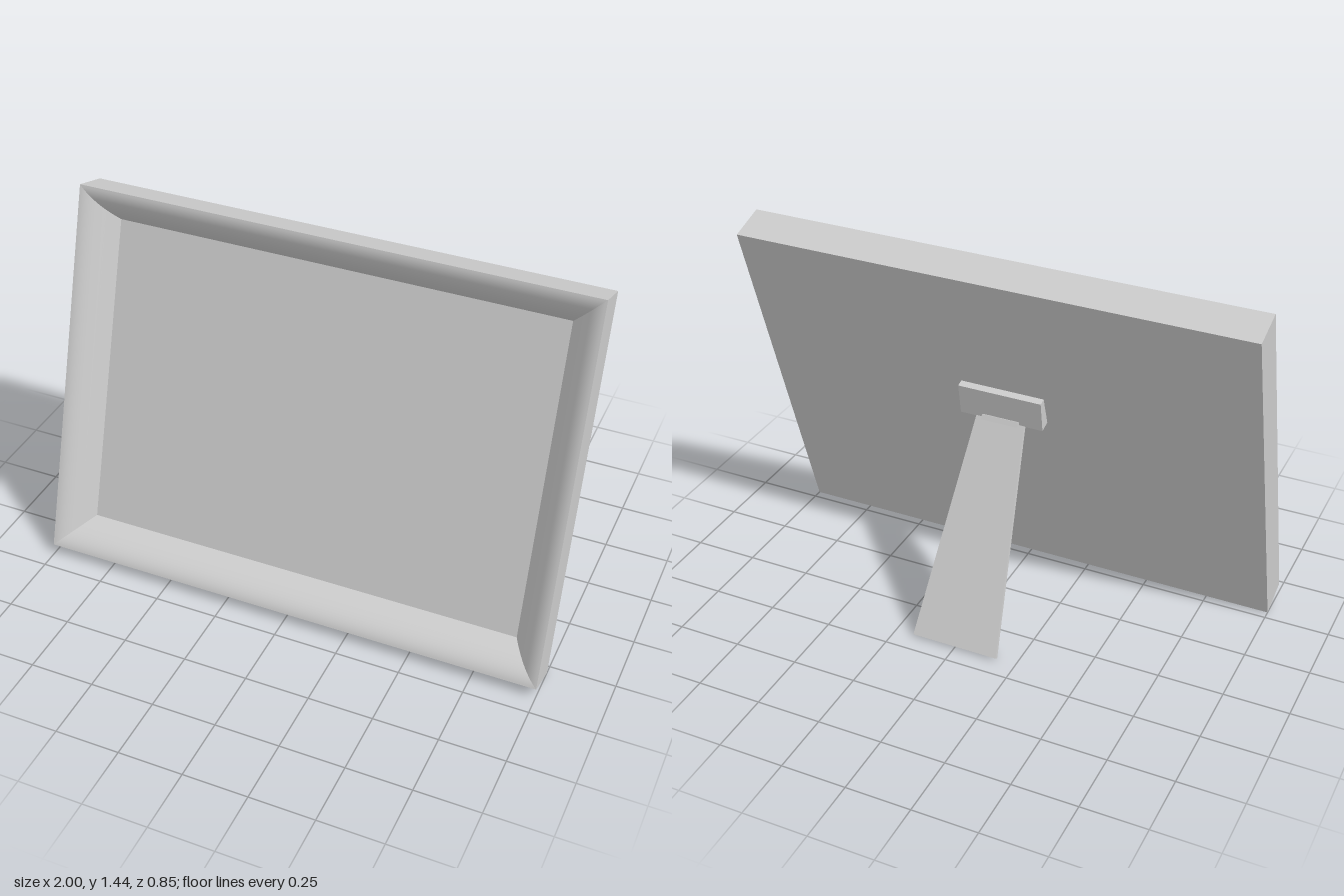
import * as THREE from 'three';
import { ConvexGeometry } from 'three/addons/geometries/ConvexGeometry.js';

const HEIGHT = 1.46;   // frame height along its own tilted plane
const DEPTH = 0.147;   // frame thickness
const PANEL = 0.04;    // depth of the recessed panel face
const RIM = 0.125;     // width of the moulding
const TILT = 0.308;    // backward lean in radians

const material = new THREE.MeshStandardMaterial({ color: 0xcccccc });

function part(name, geometry) {
  const mesh = new THREE.Mesh(geometry, material);
  mesh.name = name;
  return mesh;
}

// Sweeps a profile of [inset, depth] points round the rectangle, with mitred corners.
function mitredRing(profile) {
  const positions = [], index = [];
  const corners = (w) => [[-1 + w, w], [1 - w, w], [1 - w, HEIGHT - w], [-1 + w, HEIGHT - w]];
  for (let side = 0; side < 4; side++) {
    const base = positions.length / 3;
    profile.forEach(([w, d], i) => {
      const c = corners(w);
      positions.push(...c[side], d, ...c[(side + 1) % 4], d);
      if (i > 0) {
        const a = base + 2 * (i - 1);
        index.push(a, a + 1, a + 3, a, a + 3, a + 2);
      }
    });
  }
  const geometry = new THREE.BufferGeometry();
  geometry.setAttribute('position', new THREE.Float32BufferAttribute(positions, 3));
  geometry.setIndex(index);
  geometry.computeVertexNormals();
  return geometry;
}

// Solid across x from a side outline of [z, y, halfWidth] points.
function sideSolid(outline) {
  return new ConvexGeometry(outline.flatMap(([z, y, h]) =>
    [new THREE.Vector3(-h, y, z), new THREE.Vector3(h, y, z)]));
}

export function createModel() {
  const model = new THREE.Group();
  model.name = 'pictureFrame';

  // Leaning frame, built upright with its lower back edge at the origin
  const frame = new THREE.Group();
  frame.name = 'frame';
  frame.position.z = 0.285;
  frame.rotation.x = -TILT;
  model.add(frame);

  // Backing board, whose front is the picture panel
  const board = part('backingPanel', new THREE.BoxGeometry(2, HEIGHT, PANEL));
  board.position.set(0, HEIGHT / 2, PANEL / 2);
  frame.add(board);

  // Outer walls, and the moulding curving down to the panel
  frame.add(part('outerWalls', mitredRing([[0, PANEL], [0, DEPTH]])));
  const curve = [];
  for (let i = 0; i <= 16; i++) {
    const t = i / 16;
    curve.push([RIM * t, DEPTH - (DEPTH - PANEL) * t * t]);
  }
  frame.add(part('moulding', mitredRing(curve)));

  // Wedge block on the back
  model.add(part('hingeBlock', sideSolid([
    [0.038, 0.78, 0.167], [0, 0.897, 0.167], [-0.027, 0.889, 0.167], [-0.007, 0.766, 0.167],
  ])));

  // Hinge tab joining the block and the leg
  const tab = part('hingeTab', new THREE.BoxGeometry(0.145, 0.02, 0.036));
  tab.position.set(0, 0.77, -0.009);
  tab.rotation.x = 0.45;
  model.add(tab);

  // Support leg, wider at the foot
  model.add(part('supportLeg', sideSolid([
    [-0.004, 0.766, 0.097], [-0.019, 0.775, 0.097], [-0.426, 0.009, 0.172], [-0.411, 0, 0.172],
  ])));

  return model;
}
